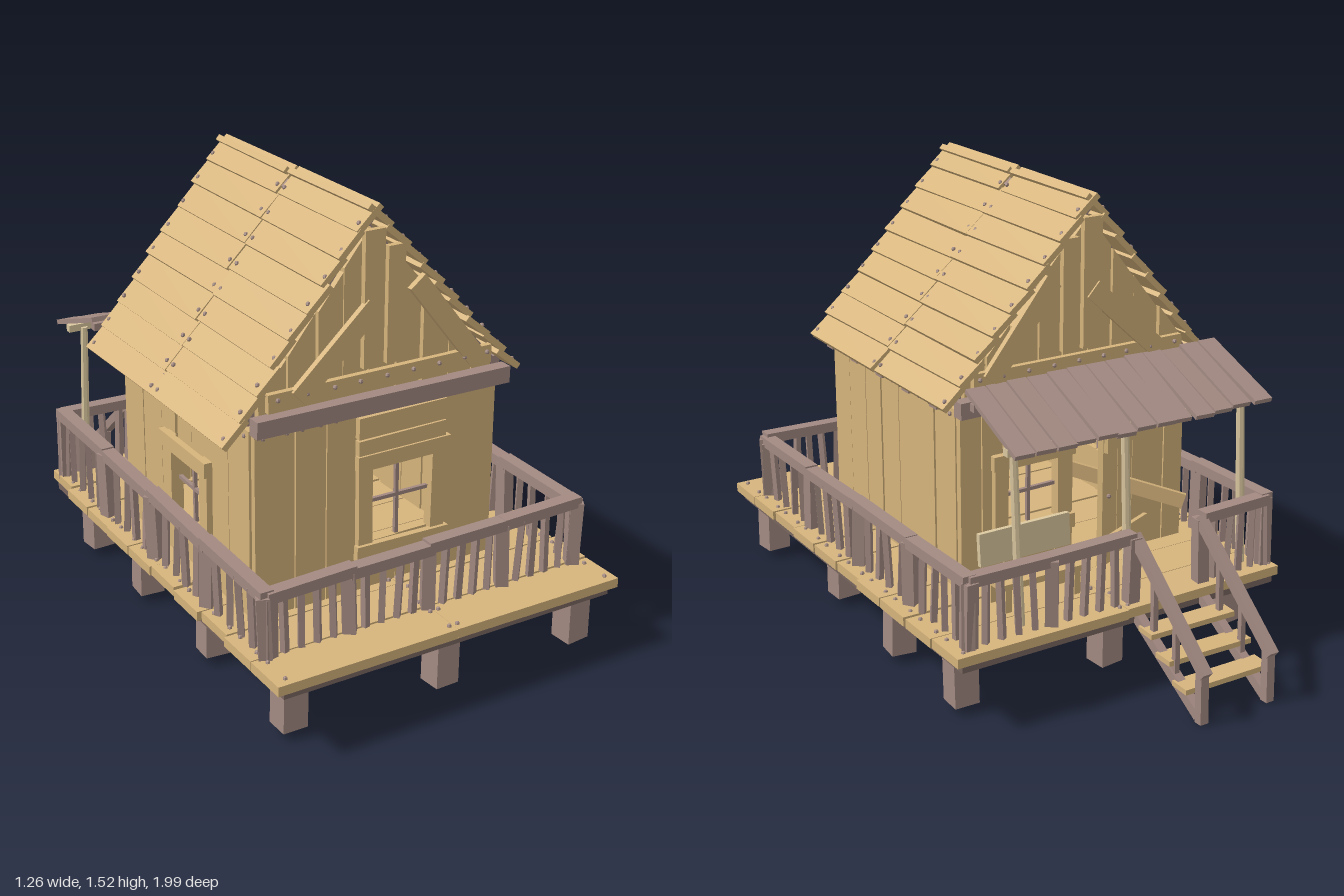
import * as THREE from 'three';

const mat = (color) => new THREE.MeshStandardMaterial({ color, flatShading: true });

export function createModel() {
  const TAN = mat(0xd6b47c), BROWN = mat(0xa38a82), PALE = mat(0xdcc9a0), DARK = mat(0x7a675f);
  const model = new THREE.Group();
  model.name = 'woodenCabin';
  let seed = 7;
  const jit = (a) => { // seeded jitter in -a..a
    seed = (seed * 16807) % 2147483647;
    return (seed / 2147483647 * 2 - 1) * a;
  };
  const part = (name) => {
    const g = new THREE.Group();
    g.name = name;
    model.add(g);
    return g;
  };
  const box = (g, name, m, size, pos, rot = [0, 0, 0]) => {
    const b = new THREE.Mesh(new THREE.BoxGeometry(...size), m);
    b.name = name;
    b.position.set(...pos);
    b.rotation.set(...rot);
    g.add(b);
    return b;
  };
  // square timber from point a to point b
  const beam = (g, name, m, a, b, w, h = w) => {
    const A = new THREE.Vector3(...a), B = new THREE.Vector3(...b);
    const t = box(g, name, m, [w, h, A.distanceTo(B)], A.clone().add(B).multiplyScalar(0.5).toArray());
    t.lookAt(B);
    return t;
  };
  const nailGeo = new THREE.SphereGeometry(0.008, 6, 4);
  const nail = (g, x, y, z) => {
    const n = new THREE.Mesh(nailGeo, BROWN);
    n.name = 'nail';
    n.position.set(x, y, z);
    g.add(n);
  };

  // Deck: base plate, cross planks in two halves, stilts
  const deck = part('deck');
  box(deck, 'deckBase', DARK, [1.2, 0.03, 1.6], [0, 0.215, 0.17]);
  for (let i = 0; i < 10; i++) {
    const z = -0.57 + i * 0.1645;
    for (const s of [-1, 1]) {
      const len = 0.62 + jit(0.012);
      box(deck, 'deckPlank', TAN, [len, 0.032, 0.158], [s * len / 2, 0.246 + jit(0.003), z], [0, jit(0.008), jit(0.006)]);
      for (const x of [0.015, 0.59]) for (const dz of [-0.05, 0.05]) nail(deck, s * x, 0.263, z + dz);
    }
  }
  for (const [x, z] of [[0, 0.87], [0, -0.5], ...[0.87, 0.38, -0.08, -0.5].flatMap((z) => [[-0.52, z], [0.51, z]])])
    box(deck, 'stilt', BROWN, [0.085, 0.18, 0.08], [x + jit(0.02), 0.115, z + jit(0.02)], [jit(0.03), jit(0.1), jit(0.03)]);

  // Walls of upright boards, split round their openings [u0, u1, y0, y1]
  const along = (axis, at, u, y) => axis === 'x' ? [u, y, at] : [at, y, u];
  const wall = (name, axis, at, out, edges, openings = []) => {
    const g = part(name);
    for (let i = 0; i + 1 < edges.length; i++) {
      const u = (edges[i] + edges[i + 1]) / 2, w = edges[i + 1] - edges[i] - 0.004;
      const o = openings.find((q) => u > q[0] && u < q[1]);
      const spans = o ? [[0.25, o[2]], [o[3], 0.88]] : [[0.25, 0.88 + jit(0.006)]];
      for (const [a, b] of spans) if (b - a > 0.03)
        box(g, 'wallBoard', TAN, along(axis, 0, w, b - a).map((v) => v || 0.025), along(axis, at + jit(0.005), u, (a + b) / 2));
      for (const d of [-0.3, 0.3]) nail(g, ...along(axis, at + out * 0.016, u + d * w, 0.86));
    }
    return g;
  };
  const front = wall('frontWall', 'x', 0.615, 1, [-0.5, -0.36, -0.25, -0.1, 0.01, 0.13, 0.25, 0.38], [[-0.1, 0.13, 0.42, 0.7]]);
  const back = wall('backWall', 'x', -0.24, -1, [-0.5, -0.42, -0.33, -0.19, -0.05, 0.02, 0.12, 0.22, 0.3, 0.38],
    [[-0.33, -0.05, 0.25, 0.78], [0.02, 0.22, 0.45, 0.67]]);
  const side = wall('windowSideWall', 'z', -0.49, -1, [-0.23, -0.1, 0.03, 0.13, 0.23, 0.33, 0.48, 0.61], [[0.13, 0.33, 0.42, 0.65]]);
  wall('plainSideWall', 'z', 0.37, 1, [-0.23, -0.1, 0.02, 0.15, 0.27, 0.38, 0.5, 0.61]);

  // Window frames with crossed bars
  const windowFrame = (g, axis, at, out, [u0, u1, y0, y1]) => {
    const u = (u0 + u1) / 2, y = (y0 + y1) / 2, w = u1 - u0, h = y1 - y0, f = at + out * 0.025;
    const piece = (name, m, pw, ph, t, pu, py, pa) =>
      box(g, name, m, along(axis, t, pw, ph), along(axis, pa, pu, py), axis === 'x' ? [0, 0, jit(0.02)] : [jit(0.02), 0, 0]);
    for (const s of [-1, 1]) {
      piece('windowJamb', TAN, 0.05, h + 0.08, 0.022, u + s * (w / 2 + 0.02), y, f);
      piece('windowCasing', TAN, w + 0.11, 0.05, 0.022, u, y + s * (h / 2 + 0.02), f + out * 0.012);
    }
    piece('windowBar', BROWN, w, 0.012, 0.012, u, y, at);
    piece('windowBar', BROWN, 0.012, h, 0.012, u, y, at);
  };
  windowFrame(front, 'x', 0.615, 1, [-0.1, 0.13, 0.42, 0.69]);
  windowFrame(back, 'x', -0.24, -1, [0.02, 0.22, 0.45, 0.67]);
  windowFrame(side, 'z', -0.49, -1, [0.13, 0.33, 0.42, 0.65]);
  for (const y of [0.75, 0.825]) box(front, 'windowHeaderBoard', TAN, [0.32, 0.07, 0.022], [0.01, y, 0.645], [0, 0, jit(0.02)]);

  // Plank door, standing ajar on its hinges
  const door = part('door');
  door.position.set(-0.33, 0, -0.26);
  door.rotation.y = 0.4;
  for (let i = 0; i < 3; i++) box(door, 'doorPlank', TAN, [0.088, 0.5, 0.02], [0.047 + i * 0.091, 0.54 + jit(0.01), 0]);
  for (const y of [0.36, 0.71]) box(door, 'doorBatten', TAN, [0.26, 0.05, 0.015], [0.138, y, -0.017]);
  beam(door, 'doorBrace', TAN, [0.03, 0.37, -0.02], [0.25, 0.7, -0.02], 0.016, 0.05);
  nail(door, 0.25, 0.53, -0.02);

  // Bench on the porch
  const bench = part('bench');
  box(bench, 'benchSeat', TAN, [0.32, 0.02, 0.11], [0.2, 0.35, -0.41]);
  box(bench, 'benchBack', PALE, [0.34, 0.11, 0.018], [0.2, 0.44, -0.345], [0.08, 0, 0]);
  for (const x of [0.07, 0.33]) for (const z of [-0.36, -0.45])
    box(bench, 'benchLeg', TAN, [0.022, 0.1, 0.022], [x, 0.3, z]);

  // Gables: boards cut to the slope, diagonal braces and tie beam
  const roofY = (x) => x < -0.1 ? 1.52 + (x + 0.1) * 1.27 : 1.52 - (x + 0.1) * 1.107;
  for (const [name, z, s] of [['frontGable', 0.61, 1], ['backGable', -0.24, -1]]) {
    const g = part(name);
    const xs = [-0.48, -0.38, -0.28, -0.19, -0.1, 0, 0.09, 0.19, 0.28, 0.36];
    for (let i = 0; i < 9; i++) {
      const a = xs[i] + 0.003, b = xs[i + 1] - 0.003, drop = 0.055 + Math.abs(jit(0.025));
      const shape = new THREE.Shape([[a, 0.87], [b, 0.87], [b, roofY(b) - drop], [a, roofY(a) - drop]].map((p) => new THREE.Vector2(...p)));
      const m = new THREE.Mesh(new THREE.ExtrudeGeometry(shape, { depth: 0.022, bevelEnabled: false }), TAN);
      m.name = 'gableBoard';
      m.position.z = z - 0.011 + jit(0.006);
      g.add(m);
      nail(g, (a + b) / 2, 0.98, z + s * 0.04);
    }
    const f = z + s * 0.025;
    box(g, 'gableRail', TAN, [0.8, 0.06, 0.02], [-0.06, 0.97, f]);
    beam(g, 'gableBrace', TAN, [-0.36, 0.97, f + s * 0.01], [-0.1, 1.21, f + s * 0.01], 0.02, 0.065);
    beam(g, 'gableBrace', TAN, [0.05, 1.26, f + s * 0.01], [0.28, 0.97, f + s * 0.01], 0.02, 0.065);
    box(g, 'kingBoard', TAN, [0.07, 0.43, 0.02], [-0.1, 1.23, f + s * 0.004]);
    box(g, 'kingBoard', TAN, [0.06, 0.37, 0.02], [-0.02, 1.2, f]);
    box(g, 'tieBeam', BROWN, [0.91, 0.055, 0.045], [-0.055, 0.9, z + s * 0.035], [0, 0, -0.012]);
  }

  // Main roof: overlapping planks in two lengths on each slope
  const roof = part('roof');
  for (const [s, ex, ey] of [[1, 0.45, 0.91], [-1, -0.61, 0.87]]) {
    const dx = ex + 0.1, dy = ey - 1.52, len = Math.hypot(dx, dy), ang = Math.atan2(dy, dx);
    const nx = -s * dy / len, ny = s * dx / len, rows = 9;
    for (let i = 0; i < rows; i++) {
      const t = (i + 0.5) / rows, x = -0.1 + dx * t - nx * 0.012, y = 1.52 + dy * t - ny * 0.012;
      for (const [z0, z1] of [[-0.28, 0.18], [0.182, 0.645]]) {
        box(roof, 'roofPlank', TAN, [len / rows + 0.016, 0.02, z1 - z0 + jit(0.012)],
          [x + jit(0.003), y + jit(0.003), (z0 + z1) / 2 + jit(0.004)], [0, jit(0.012), ang + s * (0.13 + jit(0.03))]);
        for (const z of [z0 + 0.02, z1 - 0.02]) nail(roof, x + nx * 0.013 + dx * 0.03, y + ny * 0.013 + dy * 0.03, z);
      }
    }
    for (const z of [-0.2, 0.18, 0.57]) // rafters under the planks
      beam(roof, 'rafter', BROWN, [-0.1 - nx * 0.04, 1.52 - ny * 0.04 - 0.02, z], [ex - nx * 0.045, ey - ny * 0.045, z], 0.035, 0.03);
    for (let i = 0; i < 5; i++)
      box(roof, 'joistEnd', BROWN, [0.12, 0.045, 0.045], [s > 0 ? 0.37 : -0.5, 0.9, -0.17 + i * 0.18]);
  }

  // Porch roof on three poles
  const porch = part('porchRoof');
  for (let i = 0; i < 13; i++) {
    const x = -0.56 + i * 0.075, o = jit(0.012);
    beam(porch, 'porchPlank', BROWN, [x, 0.955 + jit(0.005), -0.28], [x + 0.02 + jit(0.012), 0.84 + jit(0.006), -0.6 + o], 0.068, 0.016);
  }
  beam(porch, 'porchBeam', PALE, [-0.57, 0.84, -0.54], [0.39, 0.84, -0.54], 0.025);
  beam(porch, 'porchBeam', BROWN, [-0.57, 0.915, -0.33], [0.38, 0.915, -0.33], 0.025);
  for (const x of [-0.52, -0.06, 0.35]) {
    const p = new THREE.Mesh(new THREE.CylinderGeometry(0.013, 0.016, 0.59, 8), PALE);
    p.name = 'porchPole';
    p.position.set(x, 0.545, -0.54);
    p.rotation.set(0.04, 0, jit(0.02));
    porch.add(p);
  }

  // Railing runs: posts, leaning balusters, handrail
  const railing = part('railing');
  const railRun = (a, b, ha, hb, bays) => {
    const at = (t, y) => [a[0] + (b[0] - a[0]) * t, y, a[1] + (b[1] - a[1]) * t];
    const n = bays * 5;
    for (let i = 0; i <= n; i++) {
      const t = i / n, top = ha + (hb - ha) * t - 0.02, post = i % 5 === 0;
      const p = at(t, 0.25), q = at(t, top), j = post ? 0.008 : 0.012;
      q[0] += jit(j);
      q[2] += jit(j);
      beam(railing, post ? 'railPost' : 'baluster', BROWN, p, q, post ? 0.042 : 0.02);
    }
    for (let i = 0; i < bays; i++) {
      const t0 = i / bays, t1 = (i + 1) / bays, h = (t) => ha + (hb - ha) * t - 0.018 + jit(0.006);
      beam(railing, 'handrail', BROWN, at(t0 - 0.008, h(t0)), at(t1 + 0.008, h(t1)), 0.045, 0.036);
    }
  };
  railRun([-0.57, 0.83], [0.56, 0.83], 0.48, 0.5, 4);
  railRun([0.56, 0.83], [0.56, -0.6], 0.485, 0.505, 4);
  railRun([-0.58, 0.83], [-0.58, -0.6], 0.485, 0.52, 4);
  railRun([-0.58, -0.6], [-0.32, -0.6], 0.52, 0.51, 1);
  railRun([-0.04, -0.6], [0.56, -0.6], 0.51, 0.505, 2);

  // Back stairs with sloping handrails
  const stairs = part('stairs');
  for (const x of [-0.31, -0.05]) {
    beam(stairs, 'stringer', BROWN, [x, 0.225, -0.62], [x, 0.02, -0.96], 0.03, 0.035);
    beam(stairs, 'stairHandrail', BROWN, [x, 0.49, -0.6], [x, 0.165, -0.985], 0.035, 0.03);
    beam(stairs, 'stairEndPost', BROWN, [x, 0, -0.97], [x, 0.17, -0.965], 0.03);
    for (const t of [0.3, 0.62])
      beam(stairs, 'stairBaluster', BROWN, [x, 0.23 - t * 0.22, -0.61 - t * 0.36], [x, 0.48 - t * 0.32, -0.6 - t * 0.37], 0.018);
  }
  for (let i = 0; i < 3; i++)
    box(stairs, 'tread', TAN, [0.32, 0.018, 0.075], [-0.185, 0.2 - i * 0.055, -0.71 - i * 0.09], [0, jit(0.06), jit(0.03)]);
  return model;
}
